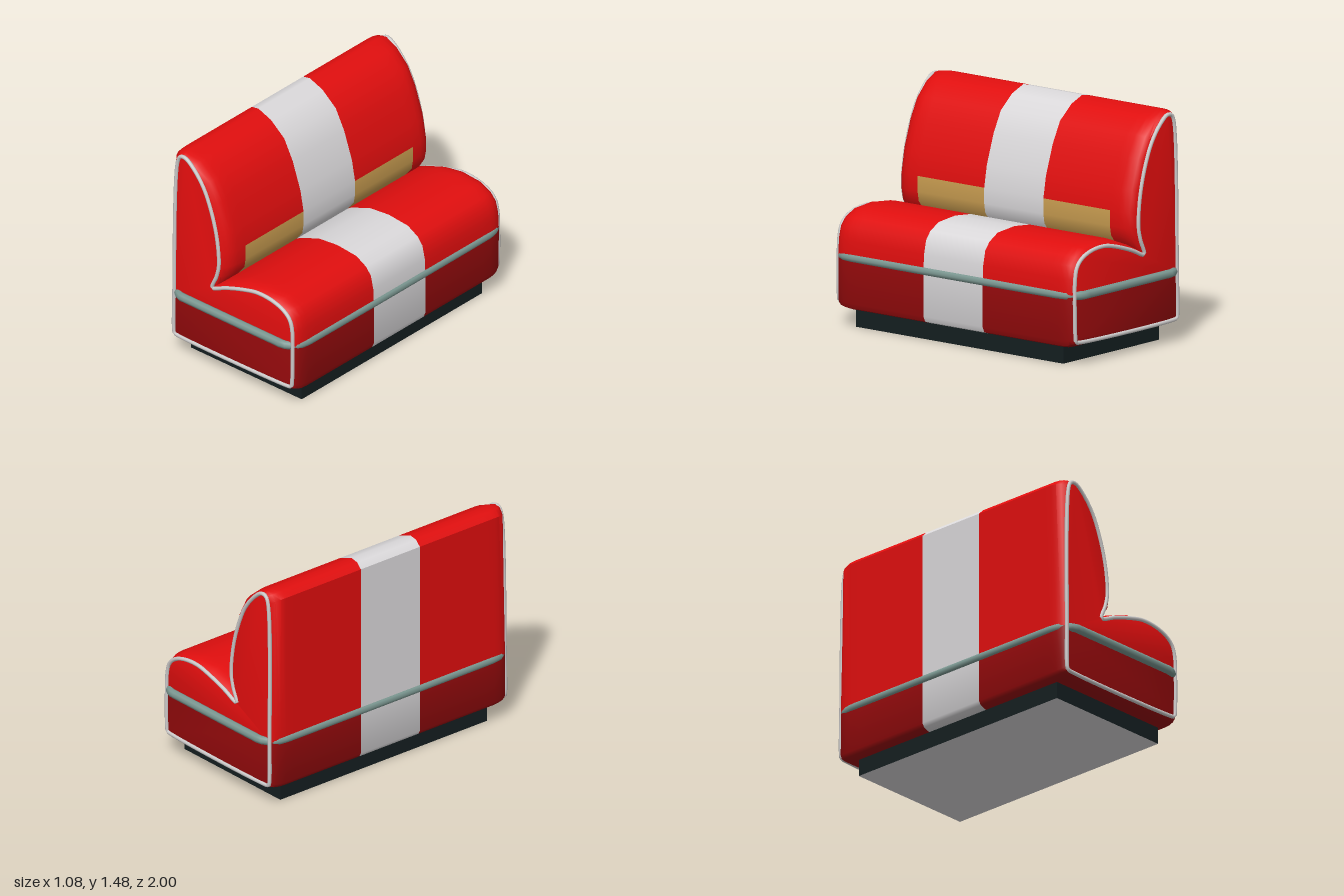
import * as THREE from 'three';
import { toCreasedNormals } from 'three/addons/utils/BufferGeometryUtils.js';

const mat = (name, color) => {
  const m = new THREE.MeshStandardMaterial({ color });
  m.name = name;
  return m;
};

// Cross-section, counter-clockwise from bottom left: outer x, y, then end-face x, y
const PROFILE = [
  [-0.47, 0.11, -0.475, 0.145], [0.47, 0.11, 0.465, 0.15], [0.51, 0.125, 0.48, 0.155],
  [0.525, 0.16, 0.485, 0.175], [0.525, 0.45, 0.49, 0.45], [0.52, 0.55, 0.485, 0.56],
  [0.50, 0.64, 0.465, 0.63], [0.46, 0.69, 0.42, 0.675], [0.38, 0.735, 0.33, 0.71],
  [0.22, 0.75, 0.20, 0.72], [0.07, 0.735, 0.08, 0.695], [-0.09, 0.675, -0.06, 0.65],
  [-0.12, 0.655, -0.18, 0.605], [-0.07, 0.72, -0.145, 0.70], [-0.06, 0.78, -0.127, 0.78],
  [-0.06, 0.88, -0.13, 0.88], [-0.085, 1.02, -0.155, 1.03], [-0.15, 1.21, -0.21, 1.20],
  [-0.22, 1.345, -0.265, 1.31], [-0.33, 1.435, -0.345, 1.405], [-0.435, 1.475, -0.41, 1.45],
  [-0.49, 1.465, -0.45, 1.445], [-0.525, 1.43, -0.472, 1.40], [-0.525, 0.45, -0.495, 0.45],
  [-0.525, 0.15, -0.495, 0.17], [-0.51, 0.125, -0.49, 0.15],
];
const N = PROFILE.length, BELT_FRONT = 4, BELT_BACK = 23, CREASE = 12, PANEL_TOP = 15;
const endZ = (y) => 0.96 - 0.008 * y;

// One ring of the body; t runs from 0 (full section) to 1 (end face)
function ring(z, t = 0, side = 1) {
  const a = t * Math.PI / 2, inset = 1 - Math.cos(a);
  return PROFILE.map(([ox, oy, ix, iy]) => {
    const y = oy + (iy - oy) * inset;
    const zz = t ? side * (0.85 + (endZ(y) - 0.85) * Math.sin(a)) : z;
    return new THREE.Vector3(ox + (ix - ox) * inset, y, zz);
  });
}

// Upholstered body: triangles are sorted into red, dark red, white and tan
function bodyGeometry() {
  const buckets = [[], [], [], []];
  const tri = (m, ...pts) => pts.forEach((p) => buckets[m].push(p.x, p.y, p.z));
  const steps = [0.25, 0.5, 0.75, 1];
  const rings = [
    ...[...steps].reverse().map((t) => ring(0, t, -1)),
    ...[-0.85, -0.78, -0.24, 0.24, 0.78, 0.85].map((z) => ring(z)),
    ...steps.map((t) => ring(0, t, 1)),
  ];

  // Walls along the length
  for (let r = 0; r < rings.length - 1; r++) {
    const a = rings[r], b = rings[r + 1];
    const mid = Math.abs(a[0].z + b[0].z) / 2;
    for (let i = 0; i < N; i++) {
      const j = (i + 1) % N;
      let m = i < BELT_FRONT || i >= BELT_BACK ? 1 : 0;
      if (mid < 0.78 && i >= CREASE && i < PANEL_TOP) m = 3;
      if (mid < 0.24) m = 2;
      tri(m, a[i], a[j], b[j]);
      tri(m, a[i], b[j], b[i]);
    }
  }

  // End faces, split at the belt line
  for (const [pts, flip] of [[rings[0], true], [rings[rings.length - 1], false]]) {
    const upper = pts.slice(BELT_FRONT, BELT_BACK + 1);
    const lower = [...pts.slice(BELT_BACK), ...pts.slice(0, BELT_FRONT + 1)];
    [upper, lower].forEach((part, m) => {
      const flat = part.map((p) => new THREE.Vector2(p.x, p.y));
      for (const [a, b, c] of THREE.ShapeUtils.triangulateShape(flat, [])) {
        if (flip) tri(m, part[a], part[c], part[b]);
        else tri(m, part[a], part[b], part[c]);
      }
    });
  }

  const geo = new THREE.BufferGeometry();
  geo.setAttribute('position', new THREE.Float32BufferAttribute(buckets.flat(), 3));
  let start = 0;
  buckets.forEach((list, m) => {
    geo.addGroup(start, list.length / 3, m);
    start += list.length / 3;
  });
  return toCreasedNormals(geo, 0.75);
}

const loopTube = (points, radius, segments) => new THREE.TubeGeometry(
  new THREE.CatmullRomCurve3(points, true, 'centripetal'), segments, radius, 8, true);

export function createModel() {
  const red = mat('red upholstery', 0xe00e0e);
  const darkRed = mat('dark red upholstery', 0x980a0c);
  const white = mat('white stripe', 0xdad8da);
  const tan = mat('tan panel', 0xc89c50);
  const pipingMat = mat('light grey piping', 0xcccaca);
  const beltMat = mat('grey green trim', 0x7b9791);
  const plinth = mat('black plinth', 0x141e20);

  const model = new THREE.Group();
  model.name = 'boothSeat';
  const add = (name, geometry, material) => {
    const mesh = new THREE.Mesh(geometry, material);
    mesh.name = name;
    model.add(mesh);
    return mesh;
  };

  add('upholsteredBody', bodyGeometry(), [red, darkRed, white, tan]);

  // Plinth with a pale underside
  add('plinth', new THREE.BoxGeometry(0.92, 0.12, 1.68),
    [plinth, plinth, plinth, white, plinth, plinth]).position.y = 0.06;

  // Piping around both end faces
  for (const side of [1, -1]) {
    const path = PROFILE.map(([, , x, y]) => new THREE.Vector3(x, y, side * endZ(y)));
    add(side > 0 ? 'frontPiping' : 'backPiping', loopTube(path, 0.013, 220), pipingMat);
  }

  // Trim rail round the waist
  const corner = [[0.512, 0.78], [0.51, 0.85], [0.49, 0.925], [0.43, 0.97], [0.36, 0.972]];
  const rail = [];
  for (const [sx, sz] of [[1, 1], [-1, 1], [-1, -1], [1, -1]]) {
    const pts = corner.map(([x, z]) => new THREE.Vector3(sx * x, 0.447, sz * z));
    rail.push(...(sx * sz > 0 ? pts : pts.reverse()));
  }
  add('waistRail', loopTube(rail, 0.028, 160), beltMat);

  return model;
}
